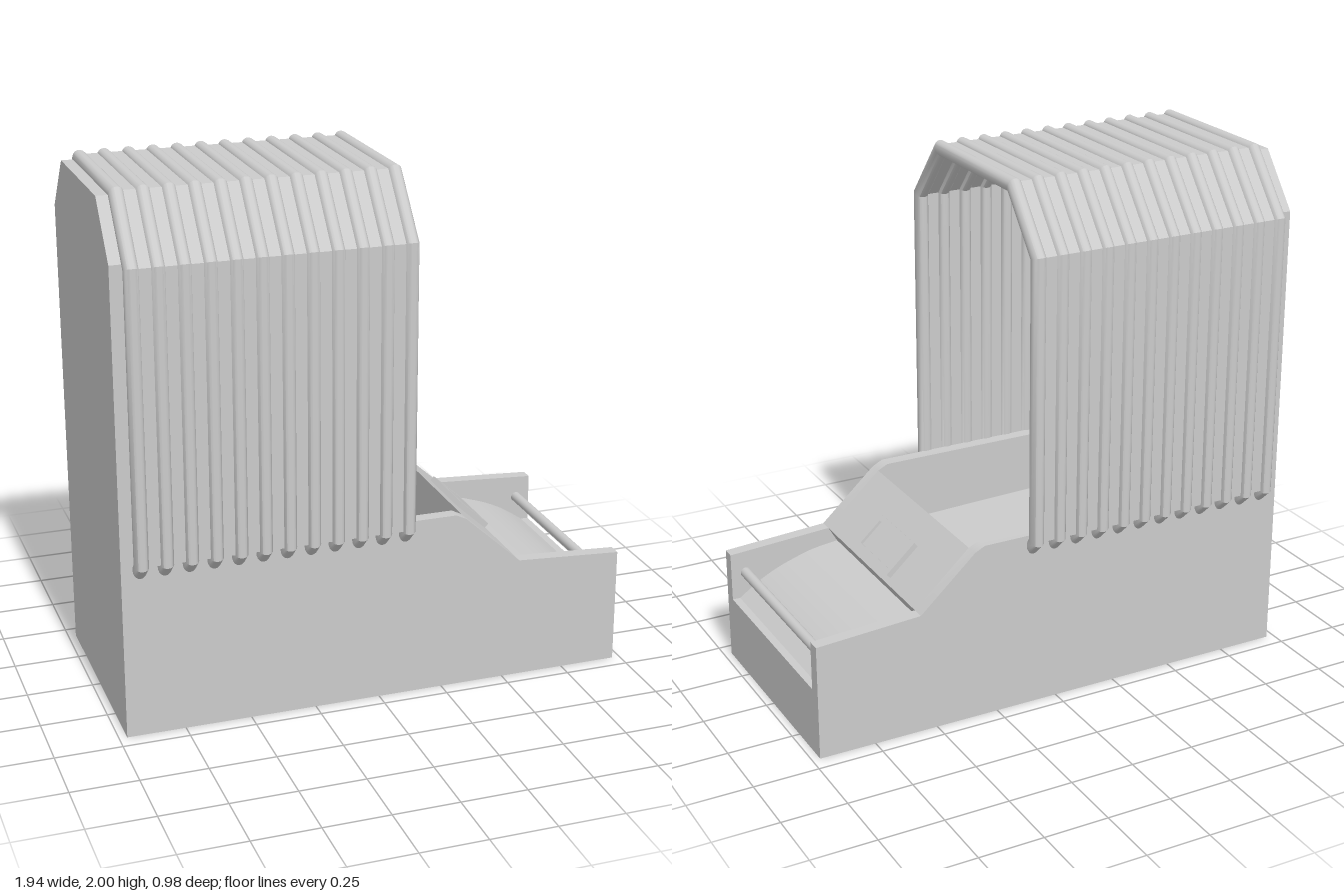
import * as THREE from 'three';
import { toCreasedNormals } from 'three/addons/utils/BufferGeometryUtils.js';

const material = new THREE.MeshStandardMaterial({ color: 0xcccccc, side: THREE.DoubleSide });

function mesh(name, geometry, parent) {
  const m = new THREE.Mesh(geometry, material);
  m.name = name;
  parent.add(m);
  return m;
}

const shapeOf = (pts) => new THREE.Shape(pts.map(([x, y]) => new THREE.Vector2(x, y)));

// Extrude an x-y outline from z0 to z1
function slab(pts, z0, z1) {
  const g = new THREE.ExtrudeGeometry(shapeOf(pts), { depth: z1 - z0, bevelEnabled: false });
  g.translate(0, 0, z0);
  return toCreasedNormals(g, 0.5);
}

// Sweep a section [outward offset, x] along a mitred path of [z, y] points
function sweep(path, section) {
  const normals = path.slice(1).map(([z, y], i) => {
    const dz = z - path[i][0], dy = y - path[i][1], l = Math.hypot(dz, dy);
    return [dy / l, -dz / l];
  });
  const n = section.length, pos = [], index = [];
  path.forEach(([z, y], i) => {
    const a = normals[Math.max(i - 1, 0)], b = normals[Math.min(i, normals.length - 1)];
    const k = 1 + a[0] * b[0] + a[1] * b[1];
    const mz = (a[0] + b[0]) / k, my = (a[1] + b[1]) / k;
    for (const [o, x] of section) pos.push(x, y + o * my, z + o * mz);
  });
  for (let i = 0; i < path.length - 1; i++) {
    for (let j = 0; j < n; j++) {
      const a = i * n + j, b = i * n + (j + 1) % n;
      index.push(a, b, b + n, a, b + n, a + n);
    }
  }
  const e = (path.length - 1) * n;
  for (let j = 1; j < n - 1; j++) index.push(0, j + 1, j, e, e + j, e + j + 1);
  const g = new THREE.BufferGeometry();
  g.setAttribute('position', new THREE.Float32BufferAttribute(pos, 3));
  g.setIndex(index);
  return toCreasedNormals(g, 0.6);
}

const mirrored = (half) => [...half, ...half.slice().reverse().map(([z, y]) => [-z, y])];

// Framed display with a recessed plate, facing +x, tilted up by the given angle
function display(name, w, h, border, depth, tilt) {
  const group = new THREE.Group();
  group.name = name;
  const rect = (a, b) => [[-a, -b], [a, -b], [a, b], [-a, b]];
  const frame = shapeOf(rect(w / 2, h / 2));
  const iw = w - 2 * border, ih = h - 2 * border;
  frame.holes.push(shapeOf(rect(iw / 2, ih / 2)));
  mesh('displayFrame', new THREE.ExtrudeGeometry(frame, { depth, bevelEnabled: false }), group);
  mesh('displayPlate', new THREE.BoxGeometry(iw, ih, depth / 2), group).position.z = depth / 4;
  group.rotation.set(0, Math.PI / 2, tilt, 'ZYX');
  return group;
}

export function createModel() {
  const model = new THREE.Group();

  // Side walls of the base
  const side = [[-0.97, 0], [0.97, 0], [0.97, 0.45], [0.56, 0.475], [0.34, 0.675], [0.3, 0.695], [-0.97, 0.695]];
  mesh('leftSideWall', slab(side, 0.39, 0.44), model);
  mesh('rightSideWall', slab(side, -0.44, -0.39), model);

  // Floor block whose top curves down to the low front lip
  const curve = new THREE.SplineCurve([[-0.95, 0.47], [0.12, 0.44], [0.56, 0.41], [0.72, 0.375], [0.84, 0.325], [0.94, 0.26]]
    .map(([x, y]) => new THREE.Vector2(x, y)));
  const top = curve.getPoints(30).reverse().map((p) => [p.x, p.y]);
  mesh('floorBlock', slab([[-0.95, 0], [0.97, 0], [0.97, 0.26], ...top], -0.39, 0.39), model);

  // Sloping console between the two trays, with its small display
  mesh('console', slab([[0.34, 0.42], [0.52, 0.405], [0.56, 0.475], [0.34, 0.675]], -0.39, 0.39), model);
  const small = display('consoleDisplay', 0.29, 0.155, 0.022, 0.022, 0.833);
  small.position.set(0.485, 0.543, 0);
  model.add(small);

  // Cross bar over the front opening
  const bar = mesh('frontBar', new THREE.CylinderGeometry(0.02, 0.02, 0.79, 20), model);
  bar.rotation.x = Math.PI / 2;
  bar.position.set(0.912, 0.365, 0);

  // Back wall with chamfered upper corners
  const wall = shapeOf([[-0.44, 0], [0.44, 0], [0.44, 1.77], [0.28, 1.97], [-0.28, 1.97], [-0.44, 1.77]]);
  const wallGeometry = new THREE.ExtrudeGeometry(wall, { depth: 0.05, bevelEnabled: false });
  wallGeometry.rotateY(Math.PI / 2);
  mesh('backWall', wallGeometry, model).position.x = -0.97;
  const large = display('wallDisplay', 0.53, 0.31, 0.038, 0.02, 0);
  large.position.set(-0.92, 1.635, 0);
  model.add(large);

  // Bowed grab handle on the back wall
  const bow = [[-0.93, 0.265], [-0.87, 0.255], [-0.83, 0.2], [-0.81, 0], [-0.83, -0.2], [-0.87, -0.255], [-0.93, -0.265]];
  const bowCurve = new THREE.CatmullRomCurve3(bow.map(([x, z]) => new THREE.Vector3(x, 1.12, z)));
  mesh('grabHandle', new THREE.TubeGeometry(bowCurve, 48, 0.03, 16), model);

  // Canopy: thin faceted sheet and twelve round ribs
  const canopy = new THREE.Group();
  canopy.name = 'canopy';
  model.add(canopy);
  const arch = [[0.4625, 1.755], [0.283, 1.9725]];
  mesh('canopySheet', sweep(mirrored([[0.4625, 0.675], ...arch]),
    [[0.013, -0.9], [0.013, 0.1], [-0.013, 0.1], [-0.013, -0.9]]), canopy);
  const circle = Array.from({ length: 20 }, (_, i) => {
    const a = (i / 20) * Math.PI * 2;
    return [0.0275 * Math.cos(a), 0.0275 * Math.sin(a)];
  });
  const ribGeometry = sweep(mirrored([[0.418, 0.635], [0.4625, 0.677], ...arch]), circle);
  for (let i = 0; i < 12; i++) {
    mesh('canopyRib', ribGeometry, canopy).position.x = -0.9 + i * (1 / 11);
  }

  return model;
}
